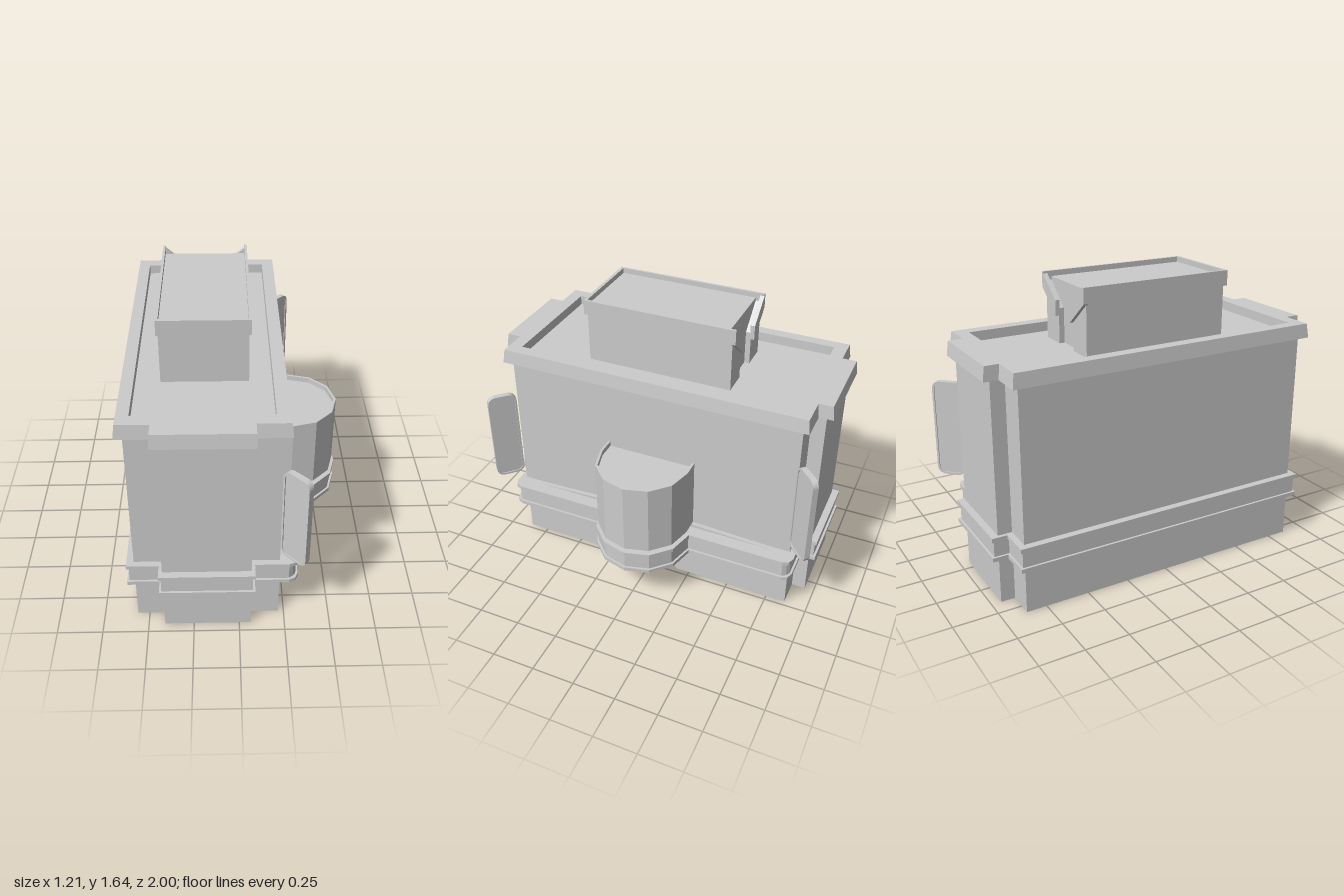
import * as THREE from 'three';

const mat = new THREE.MeshStandardMaterial({ color: 0xcccccc, flatShading: true, side: THREE.DoubleSide });

function add(parent, name, geometry, x = 0, y = 0, z = 0) {
  const mesh = new THREE.Mesh(geometry, mat);
  mesh.name = name;
  mesh.position.set(x, y, z);
  parent.add(mesh);
  return mesh;
}

function box(parent, name, x0, x1, y0, y1, z0, z1) {
  return add(parent, name, new THREE.BoxGeometry(x1 - x0, y1 - y0, z1 - z0),
    (x0 + x1) / 2, (y0 + y1) / 2, (z0 + z1) / 2);
}

const toShape = (pts) => new THREE.Shape(pts.map((p) => new THREE.Vector2(p[0], p[1])));

// Extrudes a floor plan (x, -z) from y0 up to y1
function slab(parent, name, shape, y0, y1) {
  const g = new THREE.ExtrudeGeometry(shape, { depth: y1 - y0, bevelEnabled: false });
  g.rotateX(-Math.PI / 2);
  return add(parent, name, g, 0, y0, 0);
}

// Plan of the building: a rectangle with a shallow bay at each end, grown by e
function plan(e) {
  const x0 = -0.565 - e, x1 = 0.22 + e, b0 = -0.41 - e / 2, b1 = 0.065 + e / 2;
  const z = 0.865 + e, bz = 0.945 + e;
  return [[x0, -z], [b0, -z], [b0, -bz], [b1, -bz], [b1, -z], [x1, -z],
    [x1, z], [b1, z], [b1, bz], [b0, bz], [b0, z], [x0, z]];
}

// Inner rectangle of the roof, with points matching the plan
function roofRect() {
  const z = 0.82;
  return [[-0.53, -z], [-0.41, -z], [-0.40, -z], [0.06, -z], [0.065, -z], [0.18, -z],
    [0.18, z], [0.065, z], [0.06, z], [-0.40, z], [-0.41, z], [-0.53, z]];
}

// Skins a row of matching outlines, each at its own height
function loft(rings) {
  const pos = [];
  const put = (r, j) => {
    const p = r.pts[j % r.pts.length];
    pos.push(p[0], r.y, -p[1]);
  };
  for (let i = 0; i < rings.length - 1; i++) {
    const a = rings[i], b = rings[i + 1];
    for (let j = 0; j < a.pts.length; j++) {
      put(a, j); put(a, j + 1); put(b, j + 1);
      put(a, j); put(b, j + 1); put(b, j);
    }
  }
  const g = new THREE.BufferGeometry();
  g.setAttribute('position', new THREE.Float32BufferAttribute(pos, 3));
  g.computeVertexNormals();
  return g;
}

// Half of a twelve-sided bow, bulging toward +x
function bowArc(r) {
  const pts = [];
  for (let i = -3; i <= 3; i++) {
    const a = (i * Math.PI) / 6;
    pts.push([0.32 + r * Math.cos(a), r * Math.sin(a)]);
  }
  return pts;
}

// Plan of the belt: bays at both ends, rounded ledge and bow on the +x side
function beltPlan(e) {
  const half = [[0.32 + e, 0.29 + e], [0.32 + e, 0.85], [0.305 + e, 0.885 + e], [0.27, 0.90 + e],
    [0.085 + e, 0.90 + e], [0.085 + e, 0.985 + e], [-0.43 - e, 0.985 + e],
    [-0.43 - e, 0.90 + e], [-0.605 - e, 0.90 + e]];
  const lower = half.map(([x, z]) => [x, -z]).reverse();
  return toShape([...lower, ...bowArc(0.285 + e), ...half]);
}

// Panel outline with rounded corners
function roundedPanel(w, h, r) {
  const s = new THREE.Shape();
  const x = w / 2 - r, y = h / 2 - r;
  s.absarc(x, y, r, 0, Math.PI / 2);
  s.absarc(-x, y, r, Math.PI / 2, Math.PI);
  s.absarc(-x, -y, r, Math.PI, Math.PI * 1.5);
  s.absarc(x, -y, r, Math.PI * 1.5, Math.PI * 2);
  return s;
}

function sidePanel(parent, side) {
  const g = new THREE.Group();
  g.name = side > 0 ? 'frontCornerPanel' : 'backCornerPanel';
  const frame = roundedPanel(0.17, 0.565, 0.045);
  frame.holes.push(roundedPanel(0.146, 0.541, 0.035));
  const extrude = (s, d) => new THREE.ExtrudeGeometry(s, { depth: d, bevelEnabled: false, curveSegments: 3 })
    .translate(0, 0, -d / 2);
  add(g, 'panelFrame', extrude(frame, 0.034));
  add(g, 'panelPlate', extrude(roundedPanel(0.15, 0.545, 0.036), 0.022));
  g.position.set(0.29, 0.753, side * 0.93);
  g.rotation.y = (-side * Math.PI) / 4;
  parent.add(g);
}

export function createModel() {
  const model = new THREE.Group();
  model.name = 'building';

  // Plinth with a shallow doorway, then the main walls
  const base = plan(0);
  const doorway = [[0.22, -0.165], [0.208, -0.165], [0.208, 0.165], [0.22, 0.165]];
  slab(model, 'plinth', toShape([...base.slice(0, 6), ...doorway, ...base.slice(6)]), 0, 0.22);
  slab(model, 'walls', toShape(base), 0.22, 1.27);

  // Flared cornice around a sunken roof
  add(model, 'cornice', loft([
    { pts: plan(0), y: 1.25 }, { pts: plan(0.04), y: 1.25 }, { pts: plan(0.03), y: 1.33 },
    { pts: roofRect(), y: 1.33 }, { pts: roofRect(), y: 1.275 },
  ]));
  slab(model, 'roof', toShape([[-0.53, -0.82], [0.18, -0.82], [0.18, 0.82], [-0.53, 0.82]]), 1.26, 1.275);

  // Belt with a groove between two flanges
  slab(model, 'beltLowerFlange', beltPlan(0), 0.262, 0.285);
  slab(model, 'beltGroove', beltPlan(-0.013), 0.285, 0.377);
  slab(model, 'beltUpperFlange', beltPlan(0), 0.377, 0.40);

  // Low sloping ledge above the belt on the bow side
  const ledge = new THREE.ExtrudeGeometry(toShape([[-0.8, 0.398], [0.8, 0.398], [0.27, 0.418], [-0.27, 0.418]]),
    { depth: 0.03, bevelEnabled: false });
  ledge.rotateY(Math.PI / 2);
  add(model, 'ledge', ledge, 0.215, 0, 0);

  // Bow with a raised rim
  const bow = (r) => [[0.21, -r], ...bowArc(r), [0.21, r]];
  slab(model, 'bow', toShape(bow(0.27)), 0.42, 0.82);
  const rim = toShape(bow(0.27));
  rim.holes.push(new THREE.Path(bow(0.256).map((p) => new THREE.Vector2(p[0] + (p[0] < 0.22 ? 0.004 : 0), p[1]))));
  slab(model, 'bowRim', rim, 0.82, 0.85);

  for (const side of [1, -1]) sidePanel(model, side);

  // Roof tower with a rimmed cap
  const tower = new THREE.Group();
  tower.name = 'roofTower';
  tower.position.x = -0.17;
  model.add(tower);
  box(tower, 'towerCore', -0.23, 0.23, 1.27, 1.615, -0.375, 0.445);
  box(tower, 'capFront', -0.24, 0.24, 1.56, 1.645, 0.445, 0.463);
  for (const s of [1, -1]) {
    const a = s * 0.24, b = s * 0.226;
    box(tower, 'capSide', Math.min(a, b), Math.max(a, b), 1.56, 1.645, -0.425, 0.445);

    // Back wall halves meeting at a slot, each with a slanting trim board
    const piece = (name, pts, z0, z1) => {
      const shape = toShape(pts.map(([x, y]) => [s * x, y]));
      add(tower, name, new THREE.ExtrudeGeometry(shape, { depth: z1 - z0, bevelEnabled: false }), 0, 0, z0);
    };
    piece('backWall', [[0.083, 1.27], [0.23, 1.27], [0.23, 1.60], [0.083, 1.47]], -0.405, -0.375);
    piece('backTrim', [[0.083, 1.43], [0.24, 1.56], [0.24, 1.645], [0.083, 1.515]], -0.425, -0.40);
  }
  return model;
}
